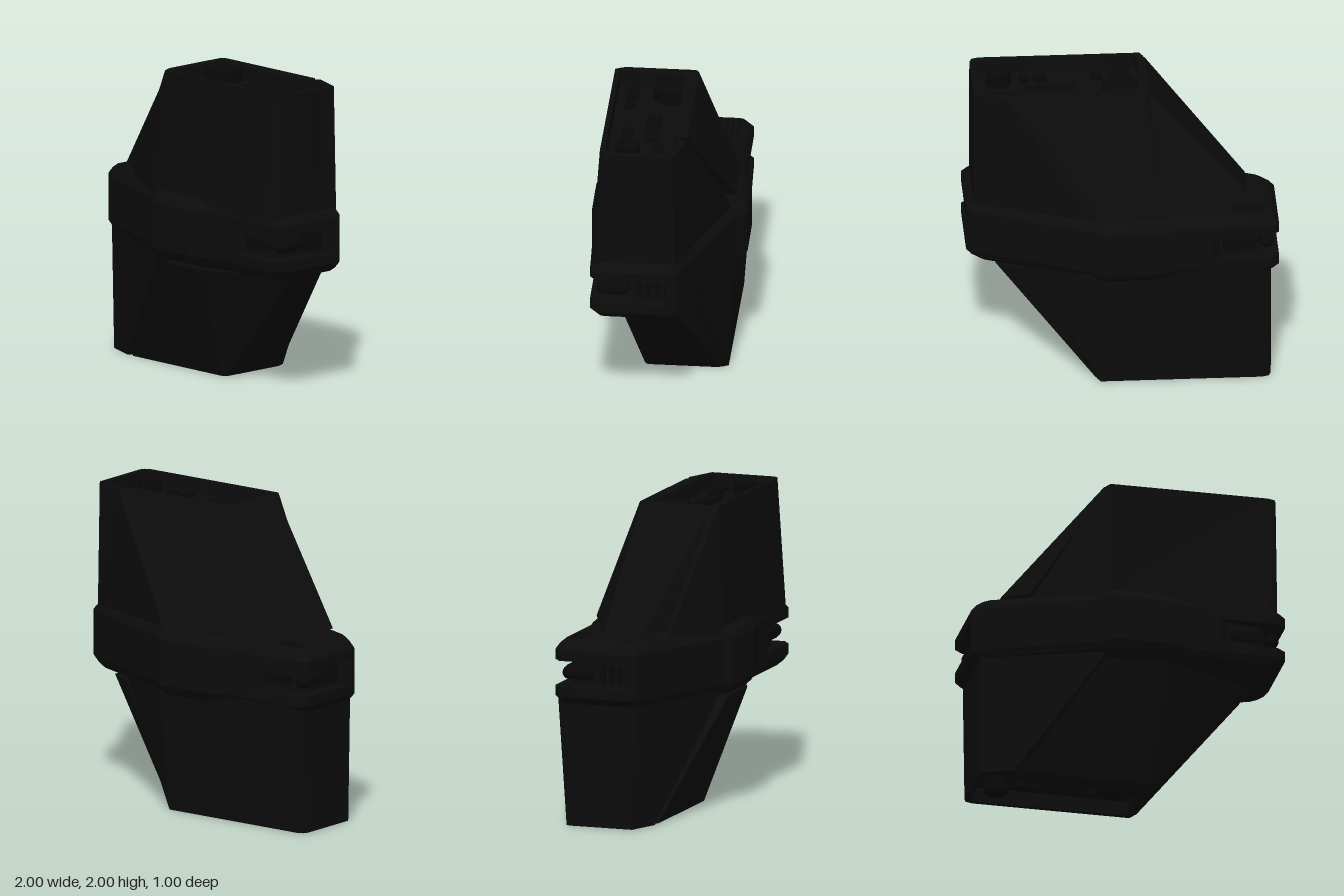
import * as THREE from 'three';

const shell = new THREE.MeshStandardMaterial({ color: 0x0c0c0c });
shell.name = 'black shell';
const detail = new THREE.MeshStandardMaterial({ color: 0x080808 });
detail.name = 'dark detail';

// Flat-shaded solid through rings [y, [[x, z], ...]] that run clockwise seen from above
function loft(rings) {
  const pos = [];
  const put = (...pts) => pts.forEach(p => pos.push(...p));
  const at = (i, j) => {
    const [y, pts] = rings[i];
    const [x, z] = pts[j % pts.length];
    return [x, y, z];
  };
  for (let i = 0; i + 1 < rings.length; i++) {
    for (let j = 0; j < rings[i][1].length; j++) {
      const a = at(i, j), b = at(i, j + 1), c = at(i + 1, j), d = at(i + 1, j + 1);
      put(b, a, c, b, c, d);
    }
  }
  for (const [i, up] of [[0, false], [rings.length - 1, true]]) {
    const flat = rings[i][1].map(p => new THREE.Vector2(p[0], p[1]));
    for (const [a, b, c] of THREE.ShapeUtils.triangulateShape(flat, [])) {
      const A = flat[a], B = flat[b], C = flat[c];
      const faceUp = (B.y - A.y) * (C.x - A.x) - (B.x - A.x) * (C.y - A.y) > 0;
      if (faceUp === up) put(at(i, a), at(i, b), at(i, c));
      else put(at(i, a), at(i, c), at(i, b));
    }
  }
  const geo = new THREE.BufferGeometry();
  geo.setAttribute('position', new THREE.Float32BufferAttribute(pos, 3));
  geo.computeVertexNormals();
  return geo;
}

// Copy of a geometry reflected through the centre point (0, 1, 0)
function inverted(source) {
  const geo = source.clone().translate(0, -1, 0).scale(-1, -1, -1).translate(0, 1, 0);
  const order = geo.index ? Array.from(geo.index.array)
    : Array.from({ length: geo.attributes.position.count }, (_, i) => i);
  for (let i = 0; i < order.length; i += 3) [order[i + 1], order[i + 2]] = [order[i + 2], order[i + 1]];
  geo.setIndex(order);
  return geo;
}

const scaled = (pts, sx, sz, cx = 0, cz = 0) =>
  pts.map(([x, z]) => [cx + (x - cx) * sx, cz + (z - cz) * sz]);
const bothHalves = half => half.concat(half.map(([x, z]) => [-x, -z]));
const box = (x0, x1, y0, y1, z0, z1) =>
  new THREE.BoxGeometry(x1 - x0, y1 - y0, z1 - z0)
    .translate((x0 + x1) / 2, (y0 + y1) / 2, (z0 + z1) / 2);

export function createModel() {
  const model = new THREE.Group();
  const add = (name, geo, mat) => {
    const mesh = new THREE.Mesh(geo, mat);
    mesh.name = name;
    model.add(mesh);
  };
  // Every part of the upper half is repeated, point-reflected, in the lower half
  const pair = (name, geo, mat = shell) => {
    add('upper ' + name, geo, mat);
    add('lower ' + name, inverted(geo), mat);
  };

  // Central band: chamfered rims around a middle layer cut back at two corners
  const frontEdge = [[0.37, 0.45], [0.19, 0.5], [-0.13, 0.5], [-0.18, 0.48], [-0.23, 0.43], [-0.96, 0.12]];
  const band = bothHalves([[1, -0.08], [1, 0.4], [0.94, 0.45], ...frontEdge]);
  const bandCut = bothHalves([[1, -0.08], [1, -0.05], [0.91, -0.03], [0.87, 0.33], [0.82, 0.37],
    [0.62, 0.39], [0.55, 0.45], ...frontEdge]);
  pair('band rim', loft([
    [1.085, band], [1.15, band], [1.19, scaled(band, 0.965, 0.95)], [1.22, scaled(band, 0.92, 0.88)],
  ]));
  add('band middle', loft([[0.915, bandCut], [1.085, bandCut]]), shell);

  // Knob and ribs inside the corner slot
  pair('slot knob', new THREE.CapsuleGeometry(0.045, 0.12, 6, 20).rotateX(Math.PI / 2)
    .translate(0.92, 1, 0.3), detail);
  for (const z of [0.0, 0.06, 0.12]) pair('slot rib', box(0.87, 0.93, 0.94, 1.06, z, z + 0.03), detail);
  pair('slot bar', box(0.64, 0.84, 0.97, 1.03, 0.36, 0.41), detail);

  // Tower core, with a recess sunk into its end
  const coreBase = [[0.95, 0.39], [0.935, 0.425], [0.89, 0.45], [-0.2, 0.43], [-0.66, 0.2], [-0.66, -0.15],
    [-0.22, -0.36], [0.13, -0.36], [0.15, -0.42], [0.95, -0.1]];
  const coreTop = [[0.95, 0.34], [0.935, 0.375], [0.89, 0.39], [-0.15, 0.38], [-0.17, 0.34], [-0.15, -0.09],
    [-0.13, -0.11], [0.7, -0.11], [0.74, -0.16], [0.95, -0.08]];
  const recess = scaled(coreTop, 0.93, 0.87, 0.4, 0.14);
  pair('tower core', loft([[1.16, coreBase], [2, coreTop], [2, recess], [1.9, recess]]));

  // Sloping outer panel, held off the core and band by a narrow gap
  pair('tower panel', loft([
    [1.25, [[-0.64, 0.2], [-0.81, 0.1], [-0.81, -0.17], [-0.25, -0.425], [0.1, -0.425], [0.1, -0.36],
      [-0.22, -0.36], [-0.66, -0.15]]],
    [2, [[-0.16, 0.34], [-0.18, 0.32], [-0.18, -0.14], [-0.16, -0.16], [0.69, -0.16], [0.69, -0.11],
      [-0.13, -0.11], [-0.15, -0.09]]],
  ]));

  // Strips that edge the side groove
  for (const z of [0.07, 0.108]) pair('groove strip', box(0.945, 0.953, 1.5, 1.995, z, z + 0.008), detail);
  pair('groove end', box(0.945, 0.953, 1.492, 1.5, 0.07, 0.116), detail);

  // Fittings on the recess floor
  for (const [x, z, r] of [[0, 0, 0.12], [0.77, 0.22, 0.08]]) {
    pair('recess drum', new THREE.CylinderGeometry(r, r, 0.1, 32).translate(x, 1.94, z), detail);
  }
  for (const [x0, x1, z0, z1] of [[0.28, 0.6, 0.04, 0.13], [0.46, 0.54, 0.21, 0.28],
    [0.57, 0.64, 0.21, 0.28], [-0.08, 0.05, 0.21, 0.29], [0.1, 0.18, 0.22, 0.29], [0.64, 0.88, 0, 0.06]]) {
    pair('recess block', box(x0, x1, 1.89, 1.93, z0, z1), detail);
  }

  // Vent slats on the band corner
  for (let i = 0; i < 3; i++) {
    const z = -0.37 + i * 0.035;
    pair('vent slat', box(-0.9, -0.7, 1.216, 1.224, z, z + 0.018), detail);
  }
  return model;
}
